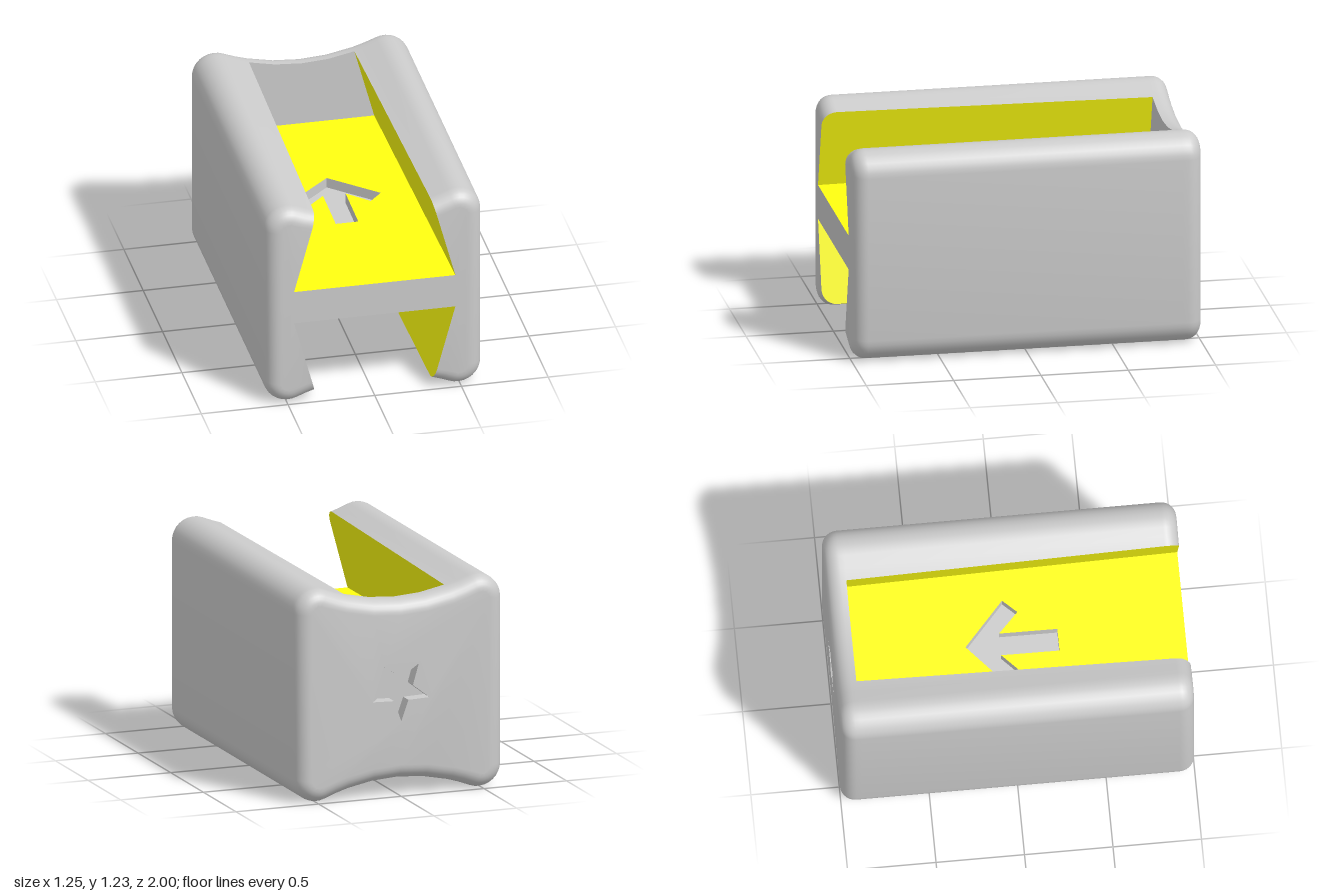
import * as THREE from 'three';
import { mergeGeometries, toCreasedNormals } from 'three/addons/utils/BufferGeometryUtils.js';

const MID = 0.615;                 // height of the block's centre; everything is mirrored about it
const ROUND = 0.085;               // rounding of the end edges
const SLOT_END = -0.885;           // z where the tapered slots stop
const CORNER = { x: 0.49, y: 0.48, r: 0.135 };
const HOLLOW_Y = 1.66;             // centre of the concave top arc
const HOLLOW_R = Math.hypot(CORNER.x, HOLLOW_Y - CORNER.y) - CORNER.r;
const ARC_MAX = Math.atan2(CORNER.x, HOLLOW_Y - CORNER.y);

const V2 = (x, y) => new THREE.Vector2(x, y);
const lift = (pts, z) => pts.map((p) => new THREE.Vector3(p.x, p.y, z));
const turn = (pts) => pts.map((p) => V2(-p.x, -p.y));

// Dovetail slot at depth z: half width and height of its floor
function slotAt(z) {
  const t = (1 - z) / (1 - SLOT_END);
  return { w: 0.465 - 0.047 * t, y: 0.1 + 0.035 * t };
}

// Angle on the concave arc (inset by o) where the slot wall breaks through
function slotAngle(z, o) {
  const s = slotAt(z), R = HOLLOW_R + o;
  let y = 0.56, a = 0;
  for (let i = 0; i < 20; i++) {
    a = Math.asin((s.w - 0.27 * (y - s.y)) / R);
    y = HOLLOW_Y - R * Math.cos(a);
  }
  return a;
}

const arcPoint = (a, o) => V2((HOLLOW_R + o) * Math.sin(a), HOLLOW_Y - (HOLLOW_R + o) * Math.cos(a));

// Right side of the outline, clockwise from the top arc to the bottom arc
function flank(angles, o) {
  const q = angles.map((a) => arcPoint(a, o));
  const start = Math.PI / 2 + ARC_MAX, n = 9;
  for (let i = 0; i <= n; i++) {
    const a = start * (1 - i / n), r = CORNER.r - o;
    q.push(V2(CORNER.x + r * Math.cos(a), CORNER.y + r * Math.sin(a)));
  }
  return [...q, ...q.map((p) => V2(p.x, -p.y)).reverse()];
}

// Skin between successive rings of points
function loft(rings, closed = false) {
  const n = rings[0].length, idx = [];
  for (let i = 0; i < rings.length - 1; i++) {
    for (let j = 0; j < (closed ? n : n - 1); j++) {
      const k = (j + 1) % n, a = i * n, b = a + n;
      idx.push(a + j, a + k, b + k, a + j, b + k, b + j);
    }
  }
  const g = new THREE.BufferGeometry().setFromPoints(rings.flat());
  g.setIndex(idx);
  return g;
}

function bare(g) {
  const out = g.index ? g.toNonIndexed() : g;
  out.deleteAttribute('normal');
  out.deleteAttribute('uv');
  return out;
}

function flat(list) {
  const g = mergeGeometries(list.map(bare));
  g.computeVertexNormals();
  return g;
}

function plate(pts, hole) {
  const s = new THREE.Shape(pts);
  if (hole) s.holes.push(new THREE.Path(hole));
  return new THREE.ShapeGeometry(s);
}

// Sunken pocket: inward walls and a floor, opening toward +z
function pocket(pts, depth) {
  return flat([loft([lift(pts, 0), lift(pts, -depth)], true), plate(pts).translate(0, 0, -depth)]);
}

// Lay a flat piece onto the sloping slot floor
function layOnFloor(g) {
  g.rotateX(-Math.PI / 2);
  const p = g.attributes.position;
  for (let i = 0; i < p.count; i++) p.setY(i, p.getY(i) + slotAt(p.getZ(i)).y);
  g.computeVertexNormals();
  return g;
}

export function createModel() {
  const model = new THREE.Group();
  const grey = new THREE.MeshStandardMaterial({ color: 0xcccccc });
  const yellow = new THREE.MeshStandardMaterial({ color: 0xffff10 });
  const add = (parent, name, geo, mat) => {
    const m = new THREE.Mesh(geo, mat);
    m.name = name;
    parent.add(m);
  };

  // Depth stations with the inset that rounds the ends
  const bevel = Array.from({ length: 8 }, (_, k) => {
    const a = (k / 7) * Math.PI / 2;
    return { z: 1 - ROUND * (1 - Math.cos(a)), o: ROUND * (1 - Math.sin(a)) };
  });
  const stations = [...bevel, { z: SLOT_END, o: 0 }];

  // Slotted front portion
  const sides = stations.map(({ z, o }) => {
    const a = slotAngle(z, o);
    return flank([a, (a + ARC_MAX) / 2], o);
  });
  const right = loft(sides.map((r, i) => lift(r, stations[i].z)));
  const left = right.clone().rotateZ(Math.PI);
  const s0 = slotAt(1);
  const frontFace = plate([
    ...sides[0], V2(s0.w, -s0.y), V2(-s0.w, -s0.y),
    ...turn(sides[0]), V2(-s0.w, s0.y), V2(s0.w, s0.y),
  ]).translate(0, 0, 1);

  // Solid rear portion, with a star opening in its face
  const aEnd = slotAngle(SLOT_END, 0);
  const fullRing = (o) => {
    const half = flank([0, aEnd / 2, aEnd, (aEnd + ARC_MAX) / 2], o).slice(0, -1);
    return [...half, ...turn(half)];
  };
  const rear = loft([
    lift(fullRing(0), SLOT_END),
    ...[...bevel].reverse().map(({ z, o }) => lift(fullRing(o), -z)),
  ], true);
  const star = Array.from({ length: 10 }, (_, i) => {
    const a = -Math.PI / 2 + (i * Math.PI) / 5, r = i % 2 ? 0.074 : 0.18;
    return V2(r * Math.cos(a), r * Math.sin(a));
  });
  const backFace = plate(fullRing(ROUND), star).rotateY(Math.PI).translate(0, 0, -1);

  // Work at a larger scale so nearby vertices stay distinct while smoothing
  const shell = mergeGeometries([right, left, frontFace, rear, backFace].map(bare)).scale(100, 100, 100);
  add(model, 'body', toCreasedNormals(shell, 0.6).scale(0.01, 0.01, 0.01), grey);
  add(model, 'starRecess', pocket(star, 0.08).rotateY(Math.PI).translate(0, 0, -1), grey);

  // Tapered dovetail channel
  const channel = new THREE.Group();
  channel.name = 'topChannel';
  const wall = stations.map(({ z, o }) => {
    const s = slotAt(z);
    return [V2(s.w, s.y), arcPoint(slotAngle(z, o), o)];
  });
  const mirrored = wall.map(([p, q]) => [V2(-q.x, q.y), V2(-p.x, p.y)]);
  const wallSkin = (w) => loft(w.map((r, i) => lift(r, stations[i].z)));
  add(channel, 'channelWalls', flat([wallSkin(wall), wallSkin(mirrored)]), yellow);

  const e = slotAt(SLOT_END);
  const arrowHalf = [V2(-0.26, 0.01), V2(-0.185, -0.07), V2(-0.065, 0.045), V2(-0.065, -0.285)];
  const arrow = [V2(0, 0.24), ...arrowHalf, ...arrowHalf.map((p) => V2(-p.x, p.y)).reverse()];
  const floor = plate([V2(-s0.w, -1), V2(s0.w, -1), V2(e.w, -SLOT_END), V2(-e.w, -SLOT_END)], arrow);
  add(channel, 'channelFloor', layOnFloor(floor), yellow);
  add(channel, 'arrowRecess', layOnFloor(pocket(arrow, 0.06)), grey);

  const rim = [aEnd, aEnd / 2, 0, -aEnd / 2, -aEnd].map((a) => arcPoint(a, 0));
  add(channel, 'channelEnd', plate([V2(-e.w, e.y), V2(e.w, e.y), ...rim]).translate(0, 0, SLOT_END), grey);
  model.add(channel);

  // The underside carries the same channel turned over
  const under = channel.clone();
  under.name = 'bottomChannel';
  under.rotation.z = Math.PI;
  model.add(under);

  for (const part of model.children) part.position.y = MID;
  return model;
}
